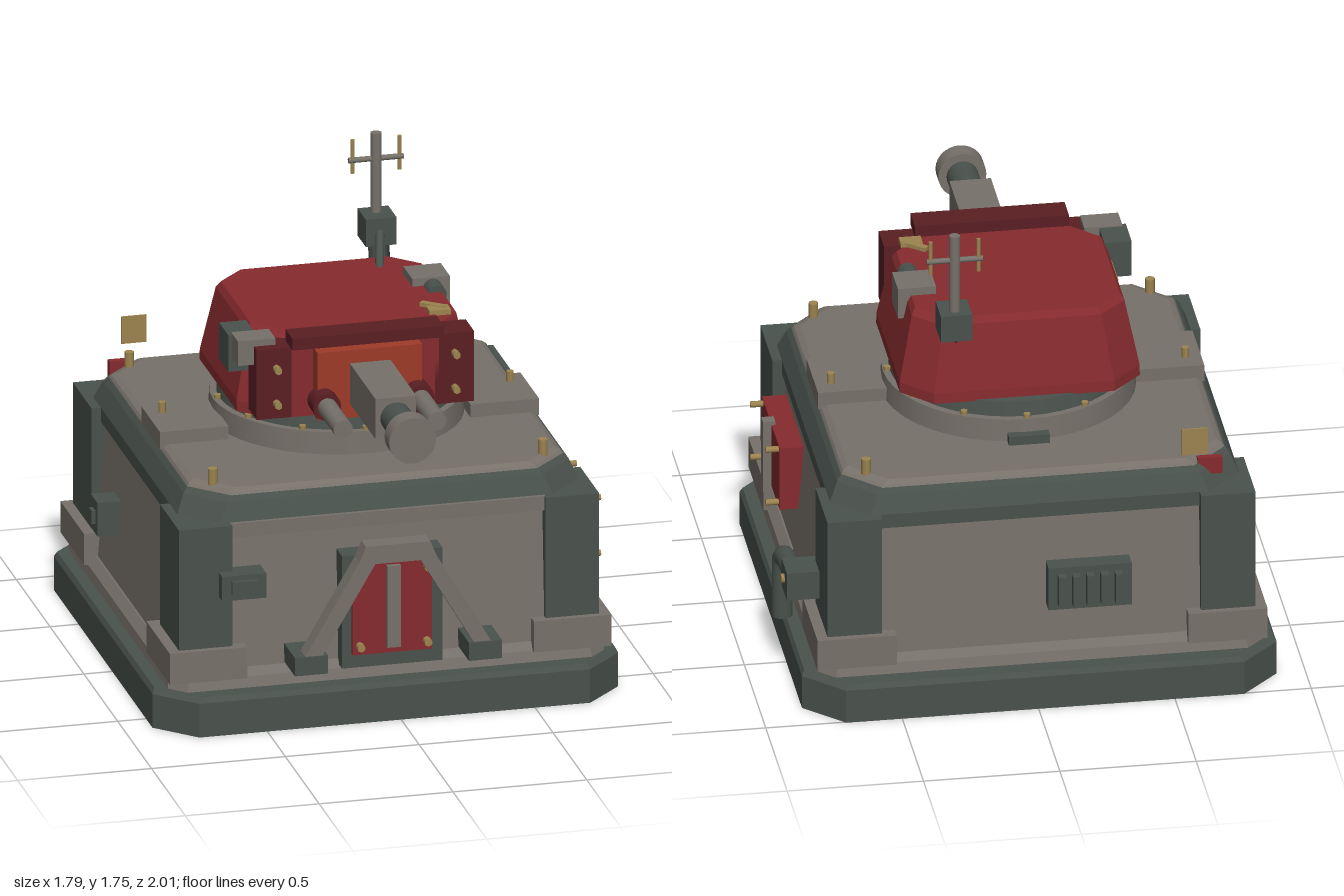
import * as THREE from 'three';

const paint = (name, color) => {
  const m = new THREE.MeshStandardMaterial({ color });
  m.name = name;
  return m;
};

export function createModel() {
  const root = new THREE.Group();
  root.name = 'gunBunker';
  const stone = paint('warm grey', 0x77716a);
  const dark = paint('dark green grey', 0x4a524d);
  const red = paint('red', 0x862b2e);
  const maroon = paint('dark red', 0x5a1f23);
  const orange = paint('orange red', 0x9e3a28);
  const brass = paint('brass', 0x9c8450);
  const CX = -0.024, CZ = -0.135;

  const add = (name, geo, mat, x = 0, y = 0, z = 0) => {
    const m = new THREE.Mesh(geo, mat);
    m.name = name;
    m.position.set(x, y, z);
    root.add(m);
    return m;
  };
  // Box given by its limits on each axis
  const box = (name, mat, x0, x1, y0, y1, z0, z1) =>
    add(name, new THREE.BoxGeometry(x1 - x0, y1 - y0, z1 - z0), mat, (x0 + x1) / 2, (y0 + y1) / 2, (z0 + z1) / 2);
  // Cylinder between two points
  const rod = (name, mat, a, b, r, sides = 16, r2 = r) => {
    const p = new THREE.Vector3(...a), q = new THREE.Vector3(...b), d = q.clone().sub(p);
    const m = add(name, new THREE.CylinderGeometry(r2, r, d.length(), sides), mat);
    m.position.copy(p).add(q).multiplyScalar(0.5);
    m.quaternion.setFromUnitVectors(new THREE.Vector3(0, 1, 0), d.normalize());
    return m;
  };
  // Stack of chamfered rectangles, each [y, halfX, halfZ, chamfer]
  const stack = (name, mat, rows) => {
    const pos = [];
    const rings = rows.map(([y, a, b, c]) => [
      [a, b - c], [a, c - b], [a - c, -b], [c - a, -b], [-a, c - b], [-a, b - c], [c - a, b], [a - c, b],
    ].map(([x, z]) => [x, y, z]));
    for (let r = 0; r + 1 < rings.length; r++) {
      for (let i = 0; i < 8; i++) {
        const j = (i + 1) % 8, lo = rings[r], hi = rings[r + 1];
        pos.push(...lo[i], ...lo[j], ...hi[j], ...lo[i], ...hi[j], ...hi[i]);
      }
    }
    const bot = rings[0], top = rings[rings.length - 1];
    for (let i = 1; i < 7; i++) {
      pos.push(...top[0], ...top[i], ...top[i + 1], ...bot[0], ...bot[i + 1], ...bot[i]);
    }
    const g = new THREE.BufferGeometry();
    g.setAttribute('position', new THREE.Float32BufferAttribute(pos, 3));
    g.computeVertexNormals();
    return add(name, g, mat, CX, 0, CZ);
  };

  // Foundation, walls and roof
  stack('foundation', dark, [[0, 0.87, 0.87, 0.14], [0.13, 0.87, 0.87, 0.14], [0.15, 0.86, 0.86, 0.14]]);
  stack('plinth', stone, [[0.15, 0.815, 0.8, 0.06], [0.19, 0.81, 0.79, 0.06], [0.22, 0.78, 0.77, 0.06]]);
  stack('walls', stone, [[0.2, 0.775, 0.77, 0.08], [0.74, 0.73, 0.735, 0.08]]);
  stack('roofEdge', dark, [[0.72, 0.75, 0.75, 0.13], [0.775, 0.75, 0.75, 0.13], [0.845, 0.72, 0.725, 0.13], [0.865, 0.705, 0.715, 0.13]]);
  stack('deck', stone, [[0.86, 0.705, 0.715, 0.13], [0.875, 0.695, 0.705, 0.13], [0.885, 0.675, 0.685, 0.13]]);
  box('frontLintel', stone, -0.61, 0.565, 0.72, 0.775, 0.55, 0.63);

  // Corner columns with foot blocks, deck studs
  for (const sx of [-1, 1]) {
    for (const sz of [-1, 1]) {
      add('cornerColumn', new THREE.BoxGeometry(0.2, 0.57, 0.28), dark, CX + sx * 0.685, 0.49, CZ + sz * 0.645);
      add('columnFoot', new THREE.BoxGeometry(0.29, 0.12, 0.35), stone, CX + sx * 0.68, 0.25, CZ + sz * 0.635);
      const x = CX + sx * 0.617, z = CZ + sz * 0.617;
      rod('deckStud', brass, [x, 0.87, z], [x, 0.94, z], 0.018, 8);
    }
    const bx = CX + sx * 0.58;
    box('deckBlock', stone, bx - 0.128, bx + 0.128, 0.87, 0.935, -0.21, 0.065);
    rod('blockStud', brass, [CX + sx * 0.65, 0.93, CZ], [CX + sx * 0.65, 0.975, CZ], 0.014, 8);
  }

  // Turret ring
  add('ringBase', new THREE.CylinderGeometry(0.46, 0.465, 0.09, 40), stone, CX, 0.925, CZ);
  add('ringCollar', new THREE.CylinderGeometry(0.425, 0.435, 0.06, 40), dark, CX, 0.995, CZ);
  for (let i = 0; i < 12; i++) {
    const a = i * Math.PI / 6, x = CX + 0.443 * Math.sin(a), z = CZ + 0.443 * Math.cos(a);
    rod('ringBolt', brass, [x, 0.96, z], [x, 0.985, z], 0.013, 8);
  }
  box('ringStop', dark, -0.1, 0.05, 0.88, 0.92, -0.63, -0.57);

  // Turret shell
  stack('turretShell', red, [[1.02, 0.44, 0.385, 0.11], [1.06, 0.44, 0.383, 0.11], [1.31, 0.39, 0.335, 0.1], [1.335, 0.375, 0.32, 0.1]]);
  box('turretFace', red, -0.3, 0.25, 1.04, 1.31, 0.1, 0.3);
  box('gunShield', orange, -0.22, 0.17, 1.045, 1.305, 0.28, 0.37);
  box('brow', maroon, -0.305, 0.26, 1.31, 1.355, 0.23, 0.335);
  for (const s of [-1, 1]) {
    const x = CX + s * 0.333;
    box('cheekPlate', maroon, x - 0.073, x + 0.073, 1.04, 1.31, 0.175, 0.3);
    for (const y of [1.1, 1.235]) rod('cheekBolt', brass, [x, y, 0.29], [x, y, 0.34], 0.014, 6);
    // Side guns
    const gx = CX + s * 0.175;
    rod('sideGunSleeve', maroon, [gx, 1.115, 0.34], [gx, 1.115, 0.43], 0.052, 20);
    rod('sideGun', stone, [gx, 1.115, 0.4], [gx, 1.115, 0.665], 0.036, 20);
  }

  // Main gun
  box('gunHousing', stone, -0.1, 0.052, 1.1, 1.255, 0.36, 0.75);
  rod('barrel', dark, [CX, 1.178, 0.74], [CX, 1.178, 0.94], 0.058, 24);
  rod('muzzle', stone, [CX, 1.178, 0.93], [CX, 1.178, 1], 0.088, 28);

  // Sensors on the turret
  box('sensorBox', dark, -0.505, -0.405, 1.19, 1.33, 0.04, 0.18);
  box('sensorHood', stone, -0.49, -0.35, 1.24, 1.335, 0.16, 0.26);
  rod('sensorRod', brass, [-0.425, 1.25, -0.1], [-0.425, 1.25, 0.05], 0.01, 8);
  box('sightBox', stone, 0.26, 0.4, 1.245, 1.365, -0.265, -0.13);
  rod('sightLens', dark, [0.335, 1.325, -0.14], [0.335, 1.325, -0.055], 0.035, 16);
  box('roofLatch', brass, 0.25, 0.33, 1.33, 1.35, 0.11, 0.165);
  add('latchHandle', new THREE.BoxGeometry(0.1, 0.015, 0.025), brass, 0.28, 1.345, 0.1).rotation.y = -0.7;

  // Antenna
  rod('antennaArm', dark, [0.18, 1.3, -0.3], [0.25, 1.4, -0.57], 0.016, 10);
  rod('antennaBrace', dark, [0.22, 1.26, -0.44], [0.25, 1.37, -0.6], 0.04, 4);
  box('antennaBase', dark, 0.19, 0.305, 1.345, 1.45, -0.665, -0.54);
  rod('antennaMast', stone, [0.248, 1.44, -0.62], [0.248, 1.755, -0.62], 0.02, 12);
  rod('antennaCrossbar', stone, [0.145, 1.655, -0.62], [0.35, 1.655, -0.62], 0.011, 8);
  for (const x of [0.16, 0.336]) rod('antennaTip', brass, [x, 1.605, -0.62], [x, 1.735, -0.62], 0.008, 8);

  // Front door
  box('doorFrame', dark, -0.21, 0.165, 0.2, 0.635, 0.56, 0.69);
  box('door', red, -0.175, 0.122, 0.255, 0.615, 0.66, 0.71);
  box('doorBar', stone, -0.05, 0, 0.28, 0.595, 0.7, 0.73);
  for (const s of [-1, 1]) {
    for (const y of [0.29, 0.58]) rod('doorBolt', brass, [CX + s * 0.125, y, 0.7], [CX + s * 0.125, y, 0.74], 0.015, 8);
    box('braceFoot', dark, CX + s * 0.325 - 0.062, CX + s * 0.325 + 0.062, 0.225, 0.295, 0.62, 0.79);
  }
  // Splayed brace over the door
  const arch = new THREE.Shape([
    [-0.35, 0.29], [-0.145, 0.64], [-0.12, 0.7], [0.12, 0.7], [0.145, 0.64], [0.35, 0.29],
    [0.285, 0.29], [0.1, 0.605], [0.085, 0.63], [-0.085, 0.63], [-0.1, 0.605], [-0.285, 0.29],
  ].map(([x, y]) => new THREE.Vector2(x, y)));
  add('doorBrace', new THREE.ExtrudeGeometry(arch, { depth: 0.07, bevelEnabled: false }), stone, CX, 0, 0.715);

  // Wall boxes
  box('frontBox', dark, -0.66, -0.495, 0.505, 0.6, 0.58, 0.7);
  box('frontBoxLid', dark, -0.625, -0.53, 0.53, 0.58, 0.69, 0.715);
  box('leftBox', dark, -0.86, -0.75, 0.39, 0.52, -0.45, -0.35);
  box('leftBoxKnob', dark, -0.875, -0.85, 0.43, 0.48, -0.42, -0.38);

  // Side hatch
  box('sideHatch', red, 0.7, 0.803, 0.395, 0.645, -0.07, 0.345);
  box('hatchBar', stone, 0.79, 0.835, 0.375, 0.66, 0.115, 0.157);
  for (const z of [-0.042, 0.317]) {
    for (const y of [0.415, 0.63]) rod('hatchBolt', brass, [0.79, y, z], [0.85, y, z], 0.012, 8);
  }

  // Exhaust pipe
  box('pipeBox', dark, 0.7, 0.88, 0.37, 0.48, -0.73, -0.605);
  rod('pipeValve', brass, [0.87, 0.43, -0.665], [0.892, 0.43, -0.665], 0.018, 8);
  const path = new THREE.CurvePath();
  const v = (x, y, z) => new THREE.Vector3(x, y, z);
  path.add(new THREE.LineCurve3(v(0.835, 0.405, -0.62), v(0.84, 0.405, -0.46)));
  path.add(new THREE.QuadraticBezierCurve3(v(0.84, 0.405, -0.46), v(0.848, 0.405, -0.415), v(0.848, 0.36, -0.415)));
  path.add(new THREE.LineCurve3(v(0.848, 0.36, -0.415), v(0.848, 0.15, -0.415)));
  add('pipe', new THREE.TubeGeometry(path, 32, 0.038, 12, false), dark);

  // Rear vent
  box('ventFrame', dark, -0.35, -0.045, 0.37, 0.54, -0.95, -0.85);
  for (let i = 0; i < 5; i++) {
    const x = -0.3 + i * 0.052;
    box('ventSlat', dark, x - 0.014, x + 0.014, 0.395, 0.515, -0.985, -0.94);
  }

  // Rear marker plate and red wedge
  box('markerPlate', brass, -0.64, -0.545, 0.925, 1.03, -0.878, -0.872);
  box('rearWedge', red, -0.7, -0.61, 0.82, 0.885, -0.835, -0.81);
  return root;
}
